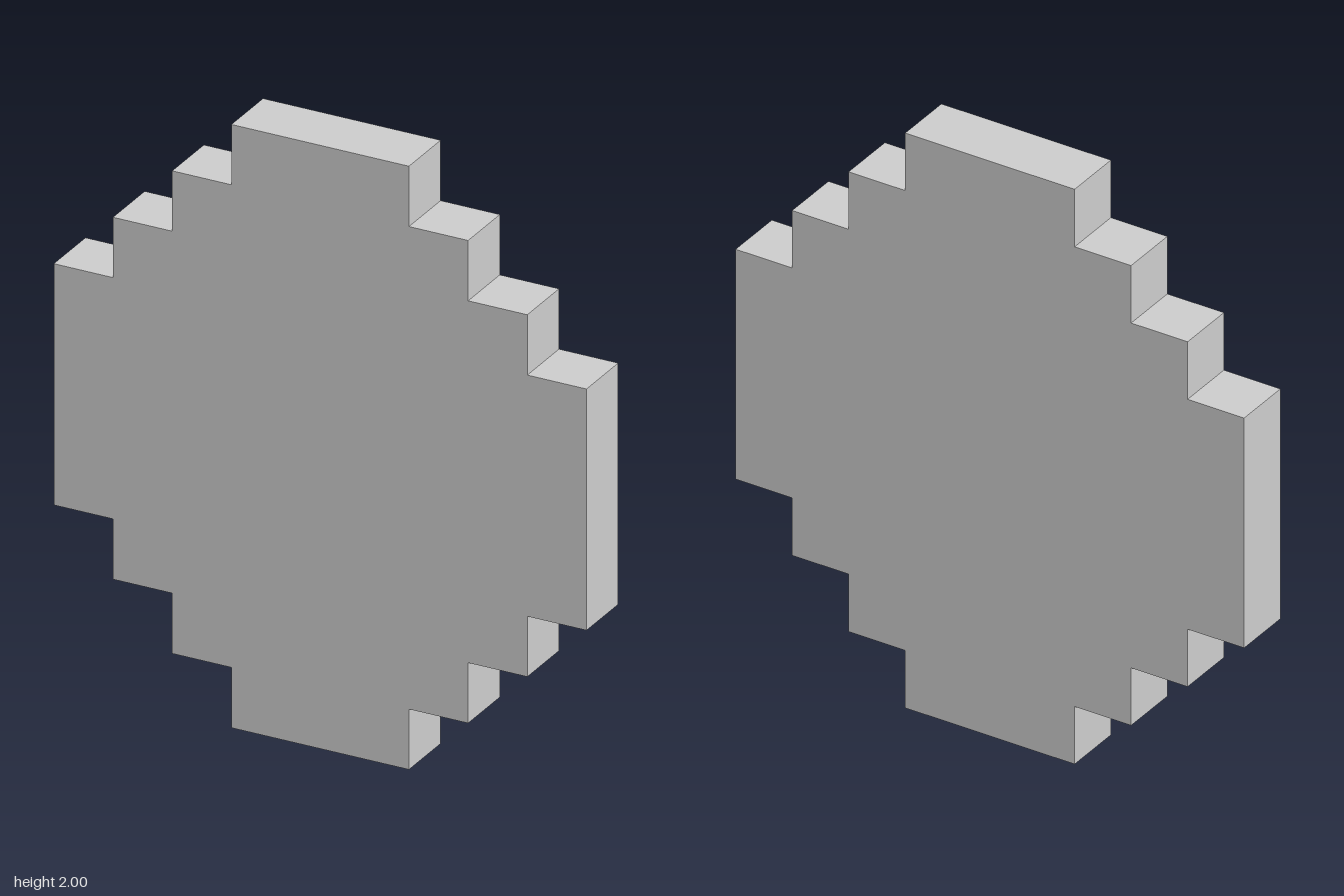
import * as THREE from 'three';

const STEP = 0.2;
const THICKNESS = 0.2;

// Stepped outline, traced counter-clockwise from one quarter's corners
function steppedOutline() {
  const quarter = []; // right side, from the bottom edge up to the widest row
  for (let i = 0; i < 4; i++) {
    const x = 0.3 + i * STEP;
    quarter.push([x, i * STEP]);
    if (i < 3) quarter.push([x, (i + 1) * STEP]);
  }
  const flipY = ([x, y]) => [x, 2 - y];
  const flipX = ([x, y]) => [-x, y];
  const right = [...quarter, ...quarter.map(flipY).reverse()];
  const outline = [...right, ...right.map(flipX).reverse()];
  return new THREE.Shape(outline.map(([x, y]) => new THREE.Vector2(x, y)));
}

export function createModel() {
  const model = new THREE.Group();
  model.name = 'pixelDisc';

  // Flat disc with stair-stepped edges
  const geometry = new THREE.ExtrudeGeometry(steppedOutline(), {
    depth: THICKNESS,
    bevelEnabled: false,
  });
  geometry.translate(0, 0, -THICKNESS / 2);
  const disc = new THREE.Mesh(
    geometry,
    new THREE.MeshStandardMaterial({ color: 0xcccccc, flatShading: true })
  );
  disc.name = 'steppedDisc';
  model.add(disc);

  return model;
}
